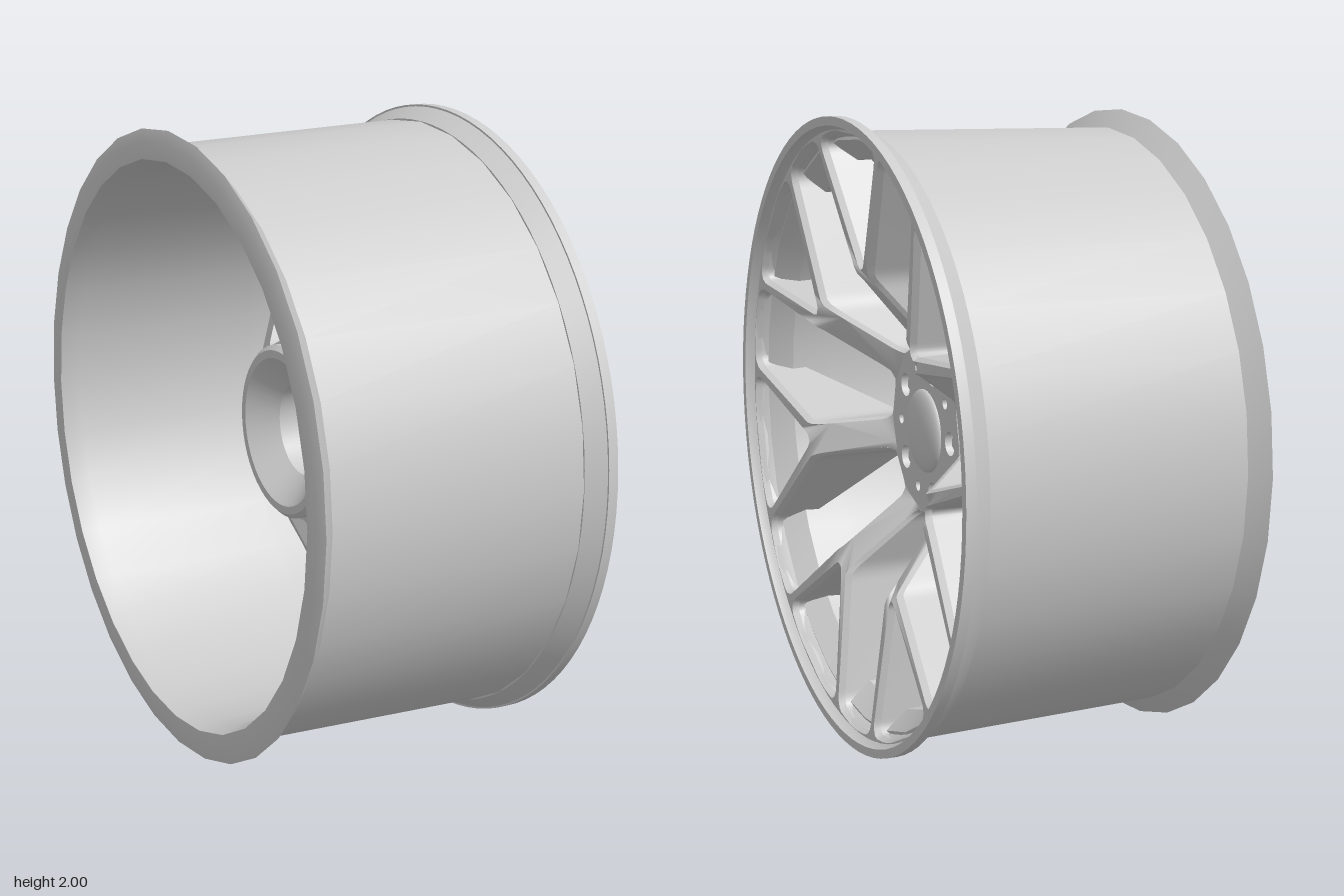
import * as THREE from 'three';
import { toCreasedNormals } from 'three/addons/utils/BufferGeometryUtils.js';

const MAT = new THREE.MeshStandardMaterial({ color: 0xcccccc });
const MAT2 = new THREE.MeshStandardMaterial({ color: 0xcccccc, side: THREE.DoubleSide });
const SPOKES = 7, STEP = (Math.PI * 2) / SPOKES, HUB_Z = 0.205, HUB_R = 0.268;

// Front and back of the spokes as functions of radius: flat hub, steep stem, shallow arms
const ramp = (r, a, b) => THREE.MathUtils.clamp((r - a) / (b - a), 0, 1);
const frontZ = r => HUB_Z + 0.21 * ramp(r, 0.29, 0.52) + 0.045 * ramp(r, 0.52, 0.95);
const chamferZ = r => frontZ(r) - 0.02;
const backZ = r => -0.06 + 0.41 * ramp(r, 0.28, 0.94);

function add(parent, name, geometry, material = MAT) {
  const mesh = new THREE.Mesh(geometry, material);
  mesh.name = name;
  parent.add(mesh);
  return mesh;
}

// Ring turned around the wheel axis (local z) from [radius, z] points
function turned(points, segments) {
  const g = new THREE.LatheGeometry(points.map(p => new THREE.Vector2(...p)), segments);
  return toCreasedNormals(g.rotateX(Math.PI / 2), 0.5);
}

const polar = (r, deg) => [r * Math.sin(deg * Math.PI / 180), r * Math.cos(deg * Math.PI / 180)];

// Polygon of [x, y, cornerSize], rounded and evenly sampled
function roundedContour(corners, count) {
  const path = new THREE.Path();
  const v = corners.map(c => new THREE.Vector2(c[0], c[1]));
  v.forEach((p, i) => {
    const prev = v[(i + v.length - 1) % v.length], next = v[(i + 1) % v.length];
    const a = p.clone().add(prev.clone().sub(p).setLength(corners[i][2]));
    const b = p.clone().add(next.clone().sub(p).setLength(corners[i][2]));
    if (i === 0) path.moveTo(a.x, a.y); else path.lineTo(a.x, a.y);
    path.quadraticCurveTo(p.x, p.y, b.x, b.y);
  });
  path.closePath();
  return path.getSpacedPoints(count).slice(0, count);
}

// Grow a counter-clockwise contour outwards
function grow(pts, d) {
  return pts.map((p, i) => {
    const a = pts[(i + pts.length - 1) % pts.length], b = pts[(i + 1) % pts.length];
    const t = b.clone().sub(a).normalize();
    return new THREE.Vector2(p.x + t.y * d, p.y - t.x * d);
  });
}

const spin = (pts, angle) => pts.map(p => p.clone().rotateAround(new THREE.Vector2(), angle));

// Points on a circle from one angle to another, ends included
function arc(r, from, to, n) {
  return Array.from({ length: n + 1 }, (_, i) => {
    const a = from + (to - from) * i / n;
    return new THREE.Vector2(r * Math.cos(a), r * Math.sin(a));
  });
}

// Wall between two contours of a window
function wall(front, zA, back, zB) {
  const n = front.length, pos = [], idx = [];
  front.forEach(p => pos.push(p.x, p.y, zA(p.length())));
  back.forEach(p => pos.push(p.x, p.y, zB(p.length())));
  for (let i = 0; i < n; i++) {
    const j = (i + 1) % n;
    idx.push(i, j, n + i, j, n + j, n + i);
  }
  const g = new THREE.BufferGeometry();
  g.setAttribute('position', new THREE.Float32BufferAttribute(pos, 3));
  g.setIndex(idx);
  g.computeVertexNormals();
  return g;
}

// Flat outline with holes, bent to a radial height rule
function dishedFace(outline, holes, z, flip) {
  const shape = new THREE.Shape(outline);
  shape.holes = holes.map(h => new THREE.Path(h));
  const g = new THREE.ShapeGeometry(shape);
  const p = g.attributes.position;
  for (let i = 0; i < p.count; i++) p.setZ(i, z(Math.hypot(p.getX(i), p.getY(i))));
  if (flip) g.setIndex(Array.from(g.index.array).reverse());
  g.computeVertexNormals();
  return g;
}

// Outline of one forked spoke with its share of the rim, between two gap windows
function spokeOutline(gap, rimR) {
  const ys = gap.map(p => p.y), up = Math.PI / 2, half = STEP / 2;
  const side = gap.filter(p => p.x < -0.003)
    .sort((a, b) => Math.atan2(-a.x, 0.6 - a.y) - Math.atan2(-b.x, 0.6 - b.y));
  side.unshift(new THREE.Vector2(0, Math.min(...ys)));
  side.push(new THREE.Vector2(0, Math.max(...ys)));
  const mirrored = side.map(p => new THREE.Vector2(-p.x, p.y)).reverse();
  return [
    ...spin(side, -half), ...arc(rimR, up - half, up + half, 14),
    ...spin(mirrored, half), ...arc(HUB_R, up + half, up - half, 8),
  ];
}

// Cylinder lying along the wheel axis, its front end at z
function axial(r, length, x, y, z, sides, open = false) {
  return new THREE.CylinderGeometry(r, r, length, sides, 1, open)
    .rotateX(Math.PI / 2).translate(x, y, z - length / 2);
}

export function createModel() {
  const root = new THREE.Group();
  root.name = 'wheel';
  const wheel = new THREE.Group();
  wheel.name = 'wheelBody';
  wheel.rotation.y = Math.PI / 2;
  wheel.position.y = 1;
  root.add(wheel);

  // Barrel with flared rear lip
  add(wheel, 'barrel', turned([
    [0.88, -0.43], [0.9, -0.49], [0.955, -0.49], [0.993, -0.48], [0.937, -0.43], [0.957, 0.4],
    [0.957, 0.41], [0.93, 0.42], [0.87, 0.35], [0.868, 0.2], [0.88, -0.43],
  ], 32));

  // Front flange
  add(wheel, 'frontLip', turned([
    [0.93, 0.4], [0.959, 0.4], [0.994, 0.458], [1, 0.458], [1, 0.49], [0.972, 0.49],
    [0.964, 0.465], [0.95, 0.45], [0.93, 0.4],
  ], 96));

  // Window outlines: one inside each fork, one between neighbouring spokes
  const forkWindow = roundedContour([
    [0, 0.53, 0.025], [...polar(0.935, 14.2), 0.035], [...polar(0.945, 7), 0.05],
    [...polar(0.945, -7), 0.05], [...polar(0.935, -14.2), 0.035],
  ], 90);
  const gapWindow = roundedContour([
    [0.07, 0.285, 0.03], [0.165, 0.485, 0.03], [...polar(0.937, 8.2), 0.035], [0, 0.947, 0.05],
    [...polar(0.937, -8.2), 0.035], [-0.165, 0.485, 0.03], [-0.07, 0.285, 0.03],
  ], 100);

  // Forked spokes: front, back, chamfers and sides
  const frontFace = dishedFace(
    spokeOutline(grow(gapWindow, 0.014), 0.972), [grow(forkWindow, 0.014)], frontZ, false);
  const backFace = dishedFace(
    spokeOutline(grow(gapWindow, -0.004), 0.948), [grow(forkWindow, -0.004)], backZ, true);
  const windows = [forkWindow, spin(gapWindow, STEP / 2)].map(w => [
    wall(grow(w, 0.014), frontZ, grow(w, 0.004), chamferZ),
    wall(grow(w, 0.004), chamferZ, grow(w, -0.004), backZ),
  ]);
  for (let i = 0; i < SPOKES; i++) {
    const spoke = new THREE.Group();
    spoke.name = 'forkedSpoke';
    spoke.rotation.z = i * STEP;
    wheel.add(spoke);
    add(spoke, 'spokeFront', frontFace);
    add(spoke, 'spokeBack', backFace);
    windows.forEach(([chamfer, side]) => {
      add(spoke, 'spokeChamfer', chamfer);
      add(spoke, 'spokeSide', side);
    });
  }

  // Bolt circle: five lug recesses and five small holes between them
  const bolts = Array.from({ length: 5 }, (_, i) =>
    new THREE.Vector2(0.203, 0).rotateAround(new THREE.Vector2(), i * Math.PI * 0.4));
  const pins = spin(bolts, Math.PI / 5);
  const hole = (c, r, n) => arc(r, 0, Math.PI * 2, n).slice(0, n).map(p => p.add(c));
  add(wheel, 'hubFace', dishedFace(arc(HUB_R, 0, Math.PI * 2, 56).slice(0, 56),
    [...bolts.map(c => hole(c, 0.038, 24)), ...pins.map(c => hole(c, 0.018, 16))], frontZ, false));
  bolts.forEach(({ x, y }) => {
    add(wheel, 'lugRecess', axial(0.038, 0.09, x, y, HUB_Z, 24, true), MAT2);
    add(wheel, 'lugFloor', axial(0.038, 0.02, x, y, HUB_Z - 0.07, 24));
    add(wheel, 'lugBolt', toCreasedNormals(axial(0.022, 0.06, x, y, HUB_Z - 0.015, 6), 0.5));
    add(wheel, 'lugWasher', new THREE.TorusGeometry(0.029, 0.006, 8, 24)
      .translate(x, y, HUB_Z - 0.03));
  });
  pins.forEach(({ x, y }) => {
    add(wheel, 'pinHole', axial(0.018, 0.03, x, y, HUB_Z, 16, true), MAT2);
    add(wheel, 'pinFloor', axial(0.018, 0.01, x, y, HUB_Z - 0.02, 16));
  });

  // Mounting pad behind the hub: conical recess leading to the centre bore
  add(wheel, 'hubPad', turned([
    [0.15, -0.03], [0.24, -0.11], [0.265, -0.11], [0.28, -0.095], [0.28, 0.09],
    [0.15, 0.09], [0.15, -0.03],
  ], 48));
  add(wheel, 'boreFloor', axial(0.15, 0.02, 0, 0, 0.09, 48));

  // Domed centre cap
  add(wheel, 'centreCap', new THREE.SphereGeometry(0.134, 40, 12, 0, Math.PI * 2, 0, Math.PI / 2)
    .rotateX(Math.PI / 2).scale(1, 1, 0.24).translate(0, 0, HUB_Z));

  // Tyre valve pointing in towards the axis
  const valve = new THREE.Group();
  valve.name = 'valve';
  valve.position.set(-0.36, -0.8, 0.31);
  valve.rotation.z = -Math.atan2(0.36, 0.8);
  wheel.add(valve);
  [[0.026, 0.035, 0.008], [0.014, 0.05, 0.03], [0.017, 0.022, 0.05]].forEach(([r, h, y]) =>
    add(valve, 'valveStem', new THREE.CylinderGeometry(r, r, h, 14).translate(0, y, 0)));

  return root;
}
